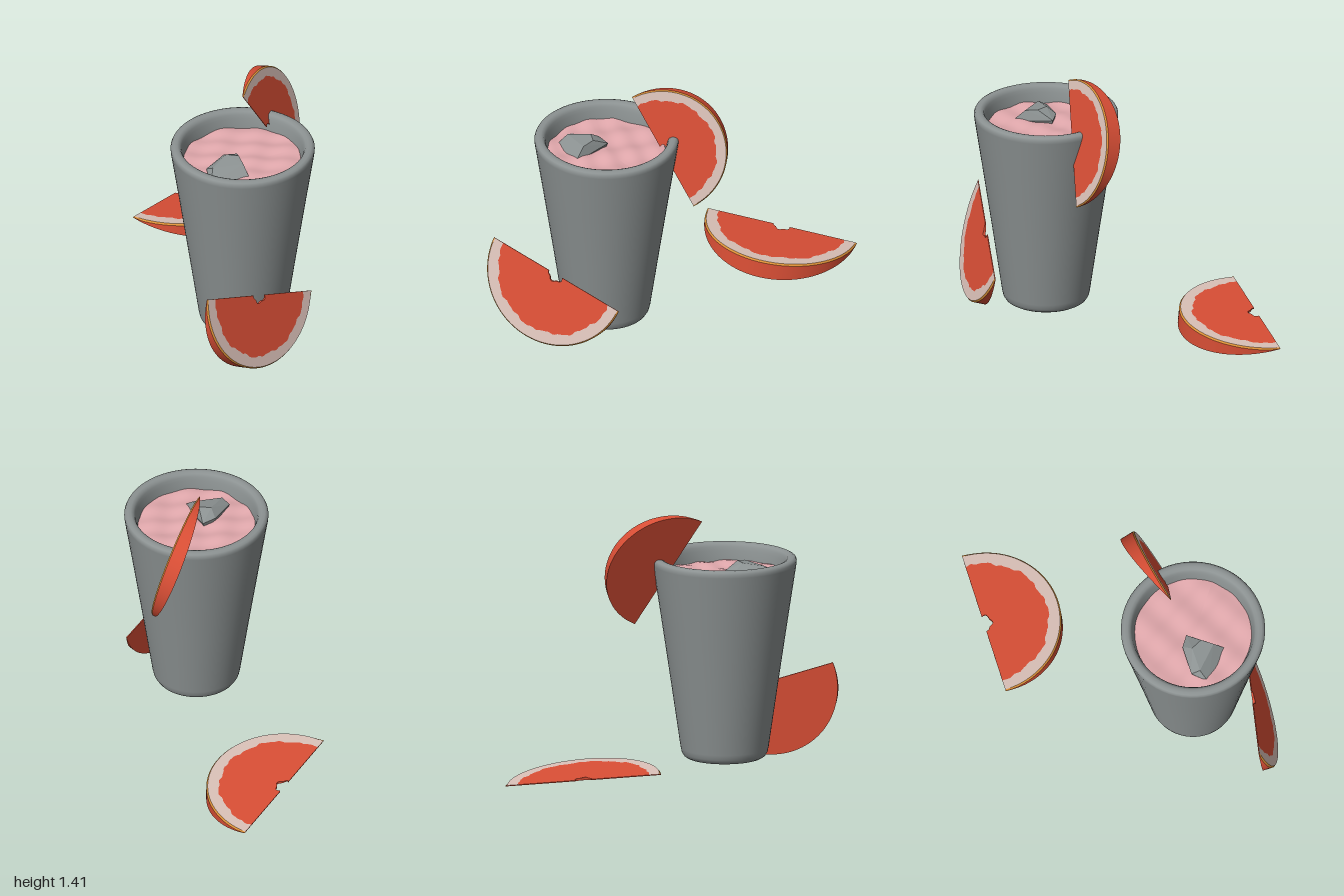
import * as THREE from 'three';
import { mergeGeometries } from 'three/addons/utils/BufferGeometryUtils.js';
import { ConvexGeometry } from 'three/addons/geometries/ConvexGeometry.js';

const material = (name, color) => Object.assign(new THREE.MeshStandardMaterial({ color }), { name });

function addMesh(parent, name, geometry, mat) {
  const mesh = new THREE.Mesh(geometry, mat);
  mesh.name = name;
  parent.add(mesh);
  return mesh;
}

// Surface between two curves, each a function of s in 0..1 giving [x, y, z]
function strip(curveA, curveB, n = 72) {
  const positions = [], index = [];
  for (let i = 0; i <= n; i++) {
    positions.push(...curveA(i / n), ...curveB(i / n));
    if (i < n) {
      const k = i * 2;
      index.push(k, k + 1, k + 2, k + 1, k + 3, k + 2);
    }
  }
  const g = new THREE.BufferGeometry();
  g.setAttribute('position', new THREE.Float32BufferAttribute(positions, 3));
  g.setIndex(index);
  g.computeVertexNormals();
  return g;
}

// Half-round citrus wedge of unit radius: thin at the straight cut, thick at the rind
function wedgeGeometries() {
  const backZ = y => -(0.23 * y + 0.012);
  const arc = (radius, depth) => s => {
    const a = s * Math.PI, r = radius(a);
    const x = r * Math.cos(a), y = r * Math.sin(a);
    return [x, y, depth(y)];
  };
  const front = () => 0;
  const notch = a => 0.105 + 0.012 * Math.sin(a * 5 + 1);
  const wavy = a => 0.835 + 0.012 * Math.sin(a * 9 + 0.6) + 0.009 * Math.sin(a * 23) + 0.006 * Math.sin(a * 41 + 2);
  const rim = () => 0.982;
  const outer = () => 1;
  const bevel = y => Math.max(-0.022, backZ(y) * 0.5);
  const line = (x0, x1, z) => s => [x0 + (x1 - x0) * s, 0, z];

  const fleshFront = strip(arc(notch, front), arc(wavy, front));
  const pith = strip(arc(wavy, front), arc(rim, front));
  const zest = strip(arc(rim, front), arc(outer, bevel));
  const side = strip(arc(outer, bevel), arc(outer, backZ));
  const back = strip(arc(outer, backZ), arc(notch, backZ));
  const notchWall = strip(arc(notch, backZ), arc(notch, front));
  const cuts = [[-1, -0.1], [0.1, 1]].map(([a, b]) => strip(line(a, b, 0), line(a, b, backZ(0)), 1));
  return { flesh: mergeGeometries([fleshFront, notchWall, ...cuts]), pith, zest, rind: mergeGeometries([side, back]) };
}

export function createModel() {
  const model = new THREE.Group();
  model.name = 'drinkWithCitrusSlices';
  const glassGrey = material('glassGrey', 0x8c9292);
  const fleshRed = material('fleshRed', 0xd84e35);
  const pithCream = material('pithCream', 0xd9c0b7);
  const zestOrange = material('zestOrange', 0xdb9038);
  const drinkPink = material('drinkPink', 0xe2a9ad);

  // Tapered cup with a rounded foot and rim, hollow inside
  const drink = new THREE.Group();
  drink.name = 'drink';
  drink.position.set(-0.035, 0, 0.44);
  model.add(drink);
  const profile = [
    [0, 0.018], [0.19, 0.018], [0.205, 0.021], [0.22, 0.03], [0.231, 0.048], [0.237, 0.075], [0.29, 0.44], [0.342, 0.79],
    [0.387, 1.085], [0.388, 1.103], [0.382, 1.116], [0.37, 1.122], [0.352, 1.122], [0.338, 1.116],
    [0.33, 1.1], [0.325, 1.08], [0.312, 1.02], [0.21, 0.1], [0, 0.09],
  ].map(([r, y]) => new THREE.Vector2(r, y));
  addMesh(drink, 'cup', new THREE.LatheGeometry(profile, 64), glassGrey);

  // Gently rippled drink surface
  const surface = new THREE.RingGeometry(0.001, 0.317, 64, 16).rotateX(-Math.PI / 2);
  const p = surface.attributes.position;
  for (let i = 0; i < p.count; i++) {
    const x = p.getX(i), z = p.getZ(i);
    p.setY(i, 0.005 * Math.sin(x * 31 + z * 14) + 0.004 * Math.sin(z * 43 - x * 17 + 1));
  }
  surface.computeVertexNormals();
  addMesh(drink, 'drinkSurface', surface, drinkPink).position.y = 1.03;

  // Rough ice lump floating in the drink
  const icePoints = [
    [-0.225, 1.05, 0.07], [-0.1, 1.06, -0.025], [-0.025, 1.05, -0.03], [-0.015, 1.02, 0.2],
    [-0.225, 1.02, 0.165], [-0.2, 1.075, 0.11], [-0.1, 1.095, 0.03], [-0.04, 1.095, 0.06],
    [-0.035, 1.085, 0.13], [-0.2, 0.95, 0.08], [-0.06, 0.95, 0], [-0.05, 0.95, 0.15],
  ].map(v => new THREE.Vector3(...v));
  addMesh(drink, 'iceCube', new ConvexGeometry(icePoints), glassGrey);

  // Citrus slices: centre of the straight cut, radius, direction of the cut, direction to the rind
  const parts = wedgeGeometries();
  const slices = [
    ['rimSlice', [0.178, 1.04, 0.222], 0.347, [0.488, -0.844, -0.226], [0.52, 0.44, -0.75]],
    ['leaningSlice', [-0.04, 0.37, 0.78], 0.397, [-0.86, 0.329, 0.405], [-0.145, -0.885, 0.41]],
    ['groundSlice', [-0.03, 0.098, -0.755], 0.419, [-0.811, 0.09, 0.585], [0.585, 0.06, 0.811]],
  ];
  for (const [name, centre, radius, cut, rind] of slices) {
    const u = new THREE.Vector3(...cut).normalize();
    const v = new THREE.Vector3(...rind);
    v.addScaledVector(u, -v.dot(u)).normalize();
    const w = new THREE.Vector3().crossVectors(u, v);
    const slice = new THREE.Group();
    slice.name = name;
    slice.position.set(...centre);
    slice.quaternion.setFromRotationMatrix(new THREE.Matrix4().makeBasis(u, v, w));
    slice.scale.setScalar(radius);
    addMesh(slice, 'flesh', parts.flesh, fleshRed);
    addMesh(slice, 'pith', parts.pith, pithCream);
    addMesh(slice, 'zestEdge', parts.zest, zestOrange);
    addMesh(slice, 'rind', parts.rind, fleshRed);
    model.add(slice);
  }
  return model;
}
